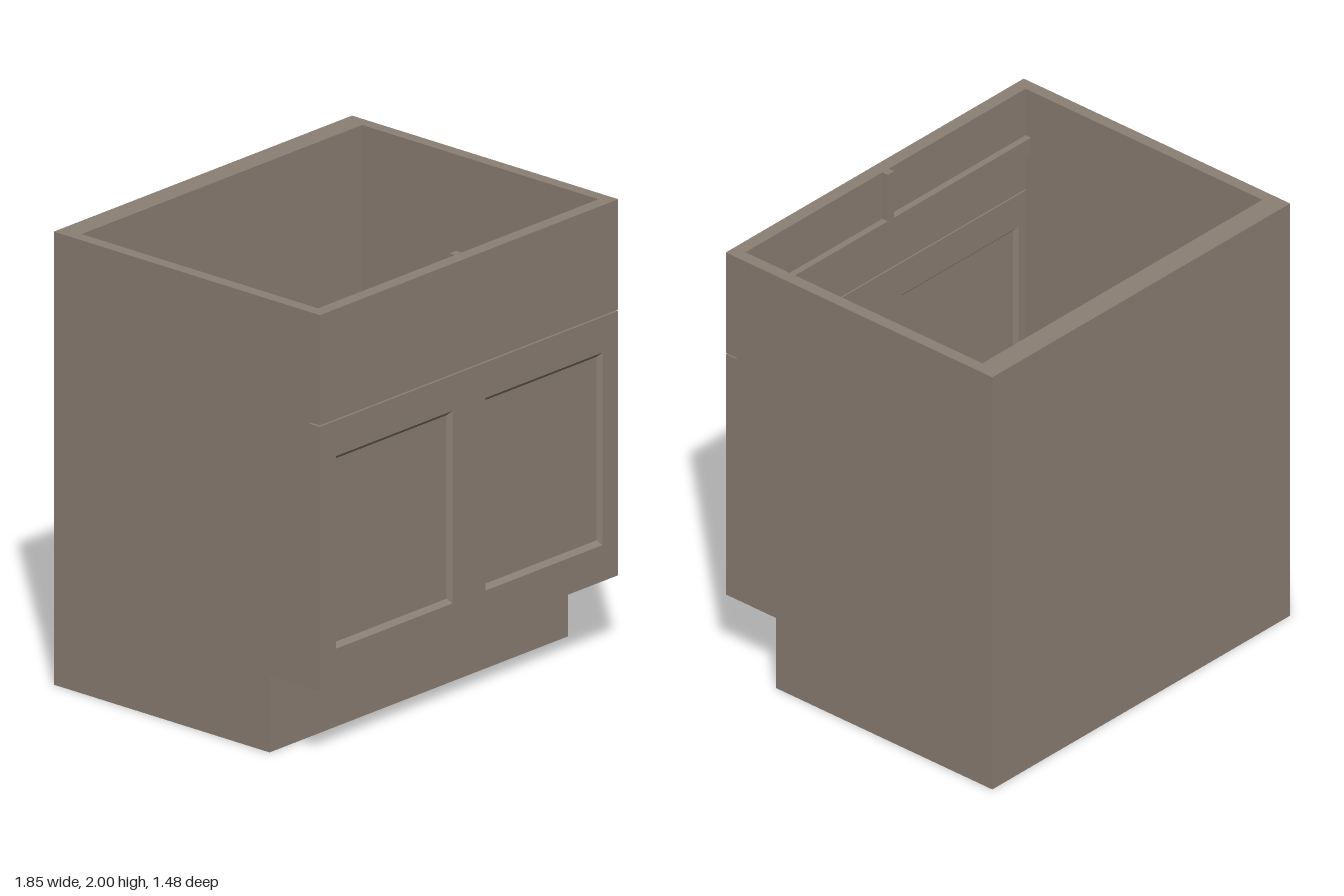
import * as THREE from 'three';

const W = 0.923, D = 0.74, H = 2;      // half width, half depth, height
const INNER = 0.868, FRONT_BACK = 0.68; // inside half width, rear plane of the front slabs
const KICK_Y = 0.34, KICK_Z = 0.46, SEAM = 1.51, GAP = 0.003;

const material = new THREE.MeshStandardMaterial({ color: 0x8c8075 });
const bevelMaterial = new THREE.MeshStandardMaterial({ color: 0x8c8075, side: THREE.DoubleSide });

export function createModel() {
  const group = new THREE.Group();
  group.name = 'sinkCabinet';

  const add = (name, geometry, mat = material) => {
    const mesh = new THREE.Mesh(geometry, mat);
    mesh.name = name;
    group.add(mesh);
    return mesh;
  };
  // Box given by its limits on each axis
  const box = (name, x0, x1, y0, y1, z0, z1) =>
    add(name, new THREE.BoxGeometry(x1 - x0, y1 - y0, z1 - z0))
      .position.set((x0 + x1) / 2, (y0 + y1) / 2, (z0 + z1) / 2);

  // Carcass: recessed plinth, floor, side walls and back, open at the top
  box('plinth', -W, W, 0, KICK_Y, -D, KICK_Z);
  box('floor', -INNER, INNER, KICK_Y, KICK_Y + 0.055, -0.635, FRONT_BACK);
  box('backWall', -W, W, KICK_Y, H, -D, -0.635);
  for (const s of [-1, 1]) {
    const xs = [s * INNER, s * W].sort((a, b) => a - b);
    box(s > 0 ? 'leftWall' : 'rightWall', xs[0], xs[1], KICK_Y, H, -0.635, FRONT_BACK);
  }

  // Upper false front with the rail and short stile behind it
  box('upperFront', -W, W, SEAM + GAP, H, FRONT_BACK, D);
  box('innerRail', -INNER, INNER, 1.7, 1.775, 0.65, FRONT_BACK);
  box('innerStile', -0.02, 0.02, 1.775, H, 0.65, FRONT_BACK);

  // Lower front: one slab with two door openings
  const rect = (Type, x0, x1, y0, y1) => {
    const p = new Type();
    p.moveTo(x0, y0).lineTo(x1, y0).lineTo(x1, y1).lineTo(x0, y1).closePath();
    return p;
  };
  const slab = rect(THREE.Shape, -W, W, KICK_Y, SEAM - GAP);
  const openings = [[-0.825, -0.103], [0.103, 0.825]];
  const y0 = 0.5, y1 = 1.35;
  for (const [x0, x1] of openings) slab.holes.push(rect(THREE.Path, x0, x1, y0, y1));
  add('doorFrame', new THREE.ExtrudeGeometry(slab, { depth: D - FRONT_BACK, bevelEnabled: false }))
    .position.z = FRONT_BACK;

  // Sloping border from the opening edge to the recessed panel
  const bevel = (x0, x1, zOuter, zInner) => {
    const corners = (dx, dy, z) => [
      [x0 + dx, y0 + dy, z], [x1 - dx, y0 + dy, z], [x1 - dx, y1 - dy, z], [x0 + dx, y1 - dy, z]];
    const a = corners(0, 0, zOuter), b = corners(0.013, 0.02, zInner);
    const points = [];
    for (let i = 0; i < 4; i++) {
      const j = (i + 1) % 4;
      const quad = [a[i], a[j], b[j], a[i], b[j], b[i]];
      if (zOuter < zInner) quad.reverse(); // keep the rear border facing inwards
      points.push(...quad.flat());
    }
    const g = new THREE.BufferGeometry();
    g.setAttribute('position', new THREE.Float32BufferAttribute(points, 3));
    g.computeVertexNormals();
    return g;
  };
  for (const [x0, x1] of openings) {
    const side = x0 > 0 ? 'left' : 'right';
    box(side + 'DoorPanel', x0, x1, y0, y1, 0.7, 0.72);
    add(side + 'DoorBevelFront', bevel(x0, x1, D, 0.72), bevelMaterial);
    add(side + 'DoorBevelRear', bevel(x0, x1, FRONT_BACK, 0.7), bevelMaterial);
  }
  return group;
}
